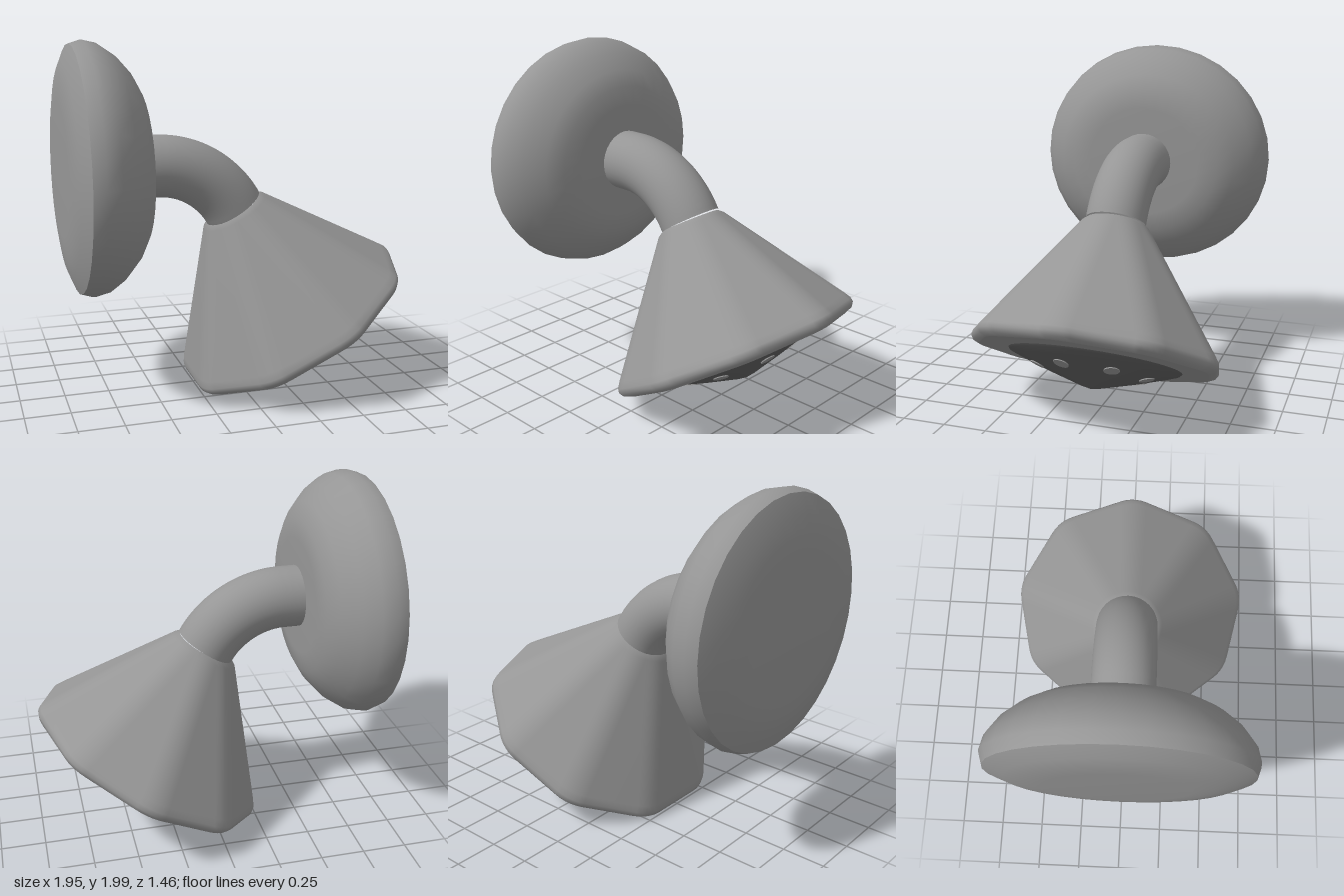
import * as THREE from 'three';

const body = new THREE.MeshStandardMaterial({ color: 0x969696 });
body.name = 'grey metal';
const dark = new THREE.MeshStandardMaterial({ color: 0x606060 });
dark.name = 'dark grey';

function add(parent, name, geometry, material) {
  const mesh = new THREE.Mesh(geometry, material);
  mesh.name = name;
  parent.add(mesh);
  return mesh;
}

const lathe = (points, segments) =>
  new THREE.LatheGeometry(points.map(([r, y]) => new THREE.Vector2(r, y)), segments);

// Nine-sided ring with rounded corners; cut is the share of each side that is rounded
function roundedRing(radius, cut, sides = 9, steps = 5) {
  const corner = (i) => new THREE.Vector2(
    radius * Math.cos(i * 2 * Math.PI / sides), radius * Math.sin(i * 2 * Math.PI / sides));
  const ring = [];
  for (let i = 0; i < sides; i++) {
    const c = corner(i);
    const curve = new THREE.QuadraticBezierCurve(
      c.clone().lerp(corner(i - 1), cut), c, c.clone().lerp(corner(i + 1), cut));
    ring.push(...curve.getPoints(steps));
  }
  return ring;
}

// Skin over rings given as [depth, radius, sideways offset, corner cut]
function loft(sections) {
  const positions = [], index = [];
  let n = 0;
  for (const [depth, radius, offset, cut] of sections) {
    const ring = roundedRing(radius, cut);
    n = ring.length;
    ring.forEach((p) => positions.push(p.x + offset, -depth, p.y));
  }
  for (let i = 0; i < sections.length - 1; i++) {
    for (let j = 0; j < n; j++) {
      const k = (j + 1) % n;
      const a = i * n + j, b = i * n + k;
      index.push(a, b, a + n, b, b + n, a + n);
    }
  }
  const geometry = new THREE.BufferGeometry();
  geometry.setAttribute('position', new THREE.Float32BufferAttribute(positions, 3));
  geometry.setIndex(index);
  geometry.computeVertexNormals();
  return geometry;
}

export function createModel() {
  const model = new THREE.Group();
  model.name = 'showerHead';

  // Wall plate: shallow domed back and rounded front, turned about x
  const plate = new THREE.Group();
  plate.name = 'wallPlate';
  plate.position.y = 1.305;
  plate.rotation.z = -Math.PI / 2;
  plate.scale.z = 1.05;
  model.add(plate);
  add(plate, 'plateBack', lathe(
    [[0, -0.985], [0.36, -0.985], [0.47, -0.975], [0.57, -0.958], [0.675, -0.915]], 32), body);
  add(plate, 'plateFront', lathe(
    [[0.675, -0.915], [0.695, -0.85], [0.677, -0.77], [0.62, -0.685], [0.53, -0.605],
      [0.44, -0.556], [0.33, -0.54], [0, -0.54]], 32), body);

  // Bent arm: short straight run, then a 60 degree bend
  const path = new THREE.CurvePath();
  const bend = [];
  for (let i = 0; i <= 12; i++) {
    const a = (i / 12) * Math.PI / 3;
    bend.push(new THREE.Vector3(-0.455 + 0.52 * Math.sin(a), 0.785 + 0.52 * Math.cos(a), 0));
  }
  path.add(new THREE.LineCurve3(new THREE.Vector3(-0.57, 1.305, 0), bend[0]));
  path.add(new THREE.CatmullRomCurve3(bend));
  add(model, 'arm', new THREE.TubeGeometry(path, 28, 0.175, 32), body);

  // Tilted head, its axis running down local -y
  const head = new THREE.Group();
  head.name = 'head';
  head.position.set(-0.005, 1.045, 0);
  head.rotation.z = Math.PI / 6;
  model.add(head);
  add(head, 'headCone', loft([
    [0, 0.178, 0, 0.49], [0.025, 0.212, -0.005, 0.42], [0.70, 0.705, -0.03, 0.18],
    [0.735, 0.728, -0.03, 0.18], [0.76, 0.732, -0.03, 0.18],
    [0.785, 0.715, -0.03, 0.18], [0.8, 0.68, -0.03, 0.2]]), body);
  add(head, 'headRim', loft([[0.8, 0.68, -0.03, 0.2], [0.8, 0.4, -0.03, 0.2]]), body);

  // Spray face: shallow cone with a ring of seven nozzles
  const face = new THREE.Group();
  face.name = 'sprayFace';
  face.position.x = -0.038;
  head.add(face);
  add(face, 'facePlate', lathe(
    [[0, -0.955], [0.06, -0.943], [0.25, -0.888], [0.42, -0.832], [0.48, -0.81], [0.5, -0.79]], 48), dark);
  for (let i = 0; i < 7; i++) {
    const pivot = new THREE.Group();
    pivot.name = 'nozzle';
    pivot.rotation.y = -(16 + i * 360 / 7) * Math.PI / 180;
    face.add(pivot);
    const disc = add(pivot, 'nozzleHole', new THREE.CylinderGeometry(0.043, 0.043, 0.008, 20), body);
    disc.position.set(0.315, -0.868, 0);
    disc.rotation.z = Math.atan2(0.056, 0.17);
  }
  return model;
}
